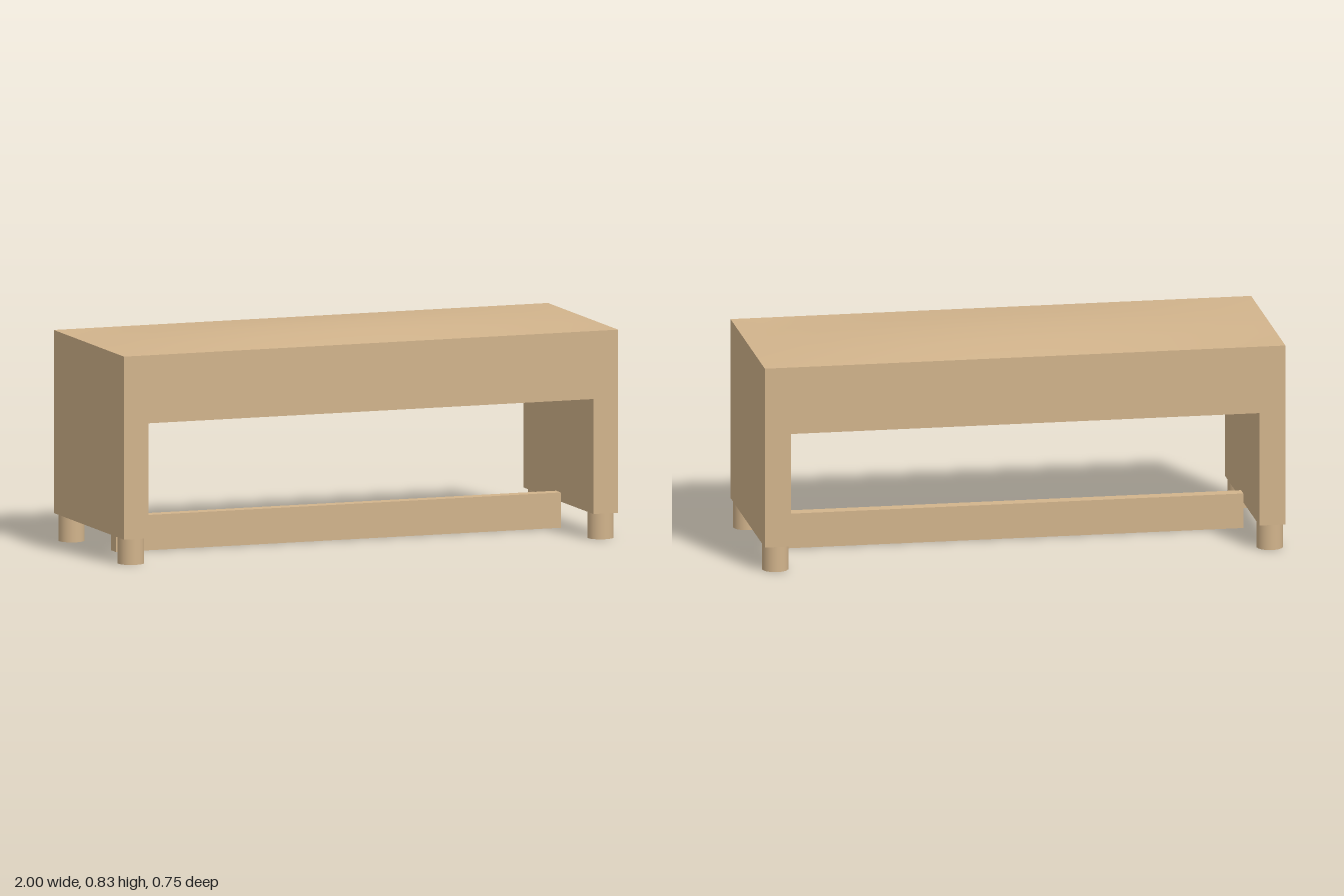
import * as THREE from 'three';

const WIDTH = 2, DEPTH = 0.75, SEAT_Y = 0.8, FOOT_H = 0.1, RISE = 0.03;

export function createModel() {
  const bench = new THREE.Group();
  bench.name = 'bench';
  const wood = new THREE.MeshStandardMaterial({ color: 0xd2b48c });

  const add = (name, geometry, x = 0, y = 0, z = 0) => {
    const mesh = new THREE.Mesh(geometry, wood);
    mesh.name = name;
    mesh.position.set(x, y, z);
    bench.add(mesh);
  };

  // Body: thick seat and two end panels in one upside-down U
  const outline = new THREE.Shape([
    [-1, FOOT_H], [-0.9, FOOT_H], [-0.9, 0.54], [0.9, 0.54],
    [0.9, FOOT_H], [1, FOOT_H], [1, SEAT_Y], [-1, SEAT_Y],
  ].map(([x, y]) => new THREE.Vector2(x, y)));
  add('body', new THREE.ExtrudeGeometry(outline, { depth: DEPTH, bevelEnabled: false }), 0, 0, -DEPTH / 2);

  // Seat top: a shallow dome that falls to the seat edge on all sides
  const dome = new THREE.PlaneGeometry(WIDTH, DEPTH, 10, 4).rotateX(-Math.PI / 2);
  const p = dome.attributes.position;
  for (let i = 0; i < p.count; i++) {
    const u = Math.cos(Math.PI * p.getX(i) / WIDTH);
    const w = Math.cos(Math.PI * p.getZ(i) / DEPTH);
    p.setY(i, RISE * u * w);
  }
  dome.computeVertexNormals();
  add('seatTop', dome, 0, SEAT_Y, 0);

  // Low rail between the end panels
  add('stretcher', new THREE.BoxGeometry(1.8, 0.135, 0.05), 0, 0.0675, 0);

  // Four round feet
  for (const [side, x] of [['Left', 0.95], ['Right', -0.95]]) {
    for (const [end, z] of [['front', 0.317], ['back', -0.317]]) {
      add(`${end}${side}Foot`, new THREE.CylinderGeometry(0.05, 0.05, FOOT_H, 20), x, FOOT_H / 2, z);
    }
  }
  return bench;
}
